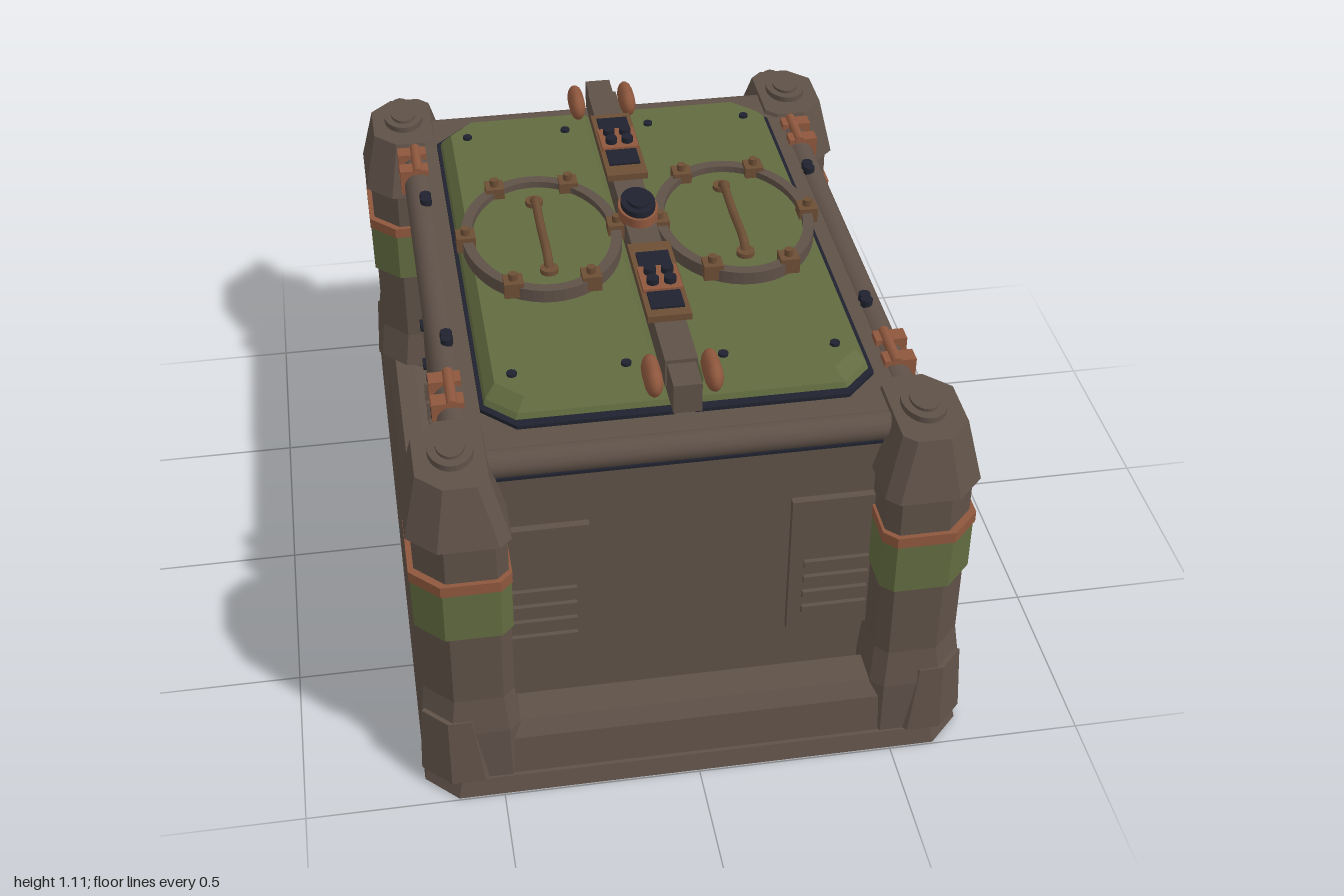
import * as THREE from 'three';

const mat = (name, hex) => {
  const m = new THREE.MeshStandardMaterial({ color: hex });
  m.name = name;
  return m;
};

export function createModel() {
  const root = new THREE.Group();
  root.name = 'armouredContainer';
  const hull = mat('hull brown', 0x5f5148);
  const green = mat('olive green', 0x626b40);
  const dark = mat('blue black', 0x20232f);
  const copper = mat('copper', 0x8e573d);
  const bronze = mat('bronze', 0x6d4e35);

  const add = (name, geo, m, x = 0, y = 0, z = 0) => {
    const mesh = new THREE.Mesh(geo, m);
    mesh.name = name;
    mesh.position.set(x, y, z);
    root.add(mesh);
    return mesh;
  };
  // box given by its limits
  const box = (name, m, x0, x1, y0, y1, z0, z1) =>
    add(name, new THREE.BoxGeometry(Math.abs(x1 - x0), y1 - y0, Math.abs(z1 - z0)), m,
      (x0 + x1) / 2, (y0 + y1) / 2, (z0 + z1) / 2);
  const cyl = (name, m, r, h, axis, x, y, z, sides = 16) => {
    const g = new THREE.CylinderGeometry(r, r, h, sides);
    if (axis === 'x') g.rotateZ(Math.PI / 2);
    if (axis === 'z') g.rotateX(Math.PI / 2);
    return add(name, g, m, x, y, z);
  };
  // stack of chamfered rectangles [y, x0, x1, z0, z1, innerChamfer, outerChamfer], mirrored when s = -1
  const loft = (name, m, s, rings) => {
    const rows = rings.map(([y, a, b, z0, z1, ci, co]) => {
      const [x0, x1, c0, c1] = s > 0 ? [a, b, ci, co] : [-b, -a, co, ci];
      return [[x1, z1 - c1], [x1, z0 + c1], [x1 - c1, z0], [x0 + c0, z0],
        [x0, z0 + c0], [x0, z1 - c0], [x0 + c0, z1], [x1 - c1, z1]].map(([x, z]) => [x, y, z]);
    });
    const p = [];
    const tri = (...v) => v.forEach((q) => p.push(...q));
    for (let r = 0; r + 1 < rows.length; r++) {
      for (let i = 0; i < 8; i++) {
        const j = (i + 1) % 8, a = rows[r], b = rows[r + 1];
        tri(a[i], a[j], b[j]);
        tri(a[i], b[j], b[i]);
      }
    }
    const lo = rows[0], hi = rows[rows.length - 1];
    for (let i = 1; i < 7; i++) {
      tri(hi[0], hi[i], hi[i + 1]);
      tri(lo[0], lo[i + 1], lo[i]);
    }
    const g = new THREE.BufferGeometry();
    g.setAttribute('position', new THREE.Float32BufferAttribute(p, 3));
    g.computeVertexNormals();
    return add(name, g, m);
  };
  const ellipse = (rx, rz) => new THREE.Shape().absellipse(0, 0, rx, rz, 0, Math.PI * 2);
  const plate = (shape, h) =>
    new THREE.ExtrudeGeometry(shape, { depth: h, bevelEnabled: false, curveSegments: 24 }).rotateX(-Math.PI / 2);

  // base plate, front sill and front wall
  loft('basePlate', hull, 1, [[0, -0.695, 0.695, -0.97, 0.995, 0.08, 0.08], [0.05, -0.685, 0.685, -0.96, 0.985, 0.08, 0.08]]);
  loft('frontSill', hull, 1, [[0.05, -0.54, 0.54, 0.82, 0.975, 0, 0], [0.16, -0.54, 0.54, 0.84, 0.965, 0, 0], [0.2, -0.54, 0.54, 0.85, 0.94, 0, 0]]);
  box('frontWall', hull, -0.5, 0.5, 0.05, 0.9, 0.76, 0.81);
  box('frontTrough', dark, -0.45, 0.45, 0.05, 0.12, 0.81, 0.82);

  // roof slab and round edge beams
  box('roof', hull, -0.55, 0.55, 0.87, 0.94, -0.78, 0.78);
  for (const z of [0.79, -0.775]) cyl('endRoofBeam', hull, 0.036, 0.98, 'x', 0, 0.906, z);
  box('frontBeamSeam', dark, -0.47, 0.47, 0.868, 0.876, 0.8, 0.815);

  // floor grating with slats
  box('floorMiddle', hull, -0.05, 0.05, 0.05, 0.09, -0.85, 0.76);
  for (let i = 0; i < 32; i++) {
    const z = -0.8 + i * 0.048;
    for (const s of [1, -1]) box('floorSlat', hull, s * 0.06, s * 0.42, 0.05, 0.075, z, z + 0.034);
  }
  box('floorGap', dark, -0.42, 0.42, 0.05, 0.056, -0.81, 0.76);

  // rear centre post
  box('rearCentrePost', hull, -0.035, 0.035, 0.05, 0.9, -0.8, -0.72);
  box('innerCentrePost', hull, -0.03, 0.03, 0.05, 0.88, -0.45, -0.38);

  for (const s of [1, -1]) {
    // corner pillars
    for (const [c, f] of [[0.795, 1], [-0.775, -1]]) {
      const ring = (y, a, b, h, ci = 0.03, co = 0.07) => [y, a, b, c - h, c + h, ci, co];
      loft('cornerPillar', hull, s, [ring(0.04, 0.445, 0.695, 0.185), ring(0.2, 0.447, 0.692, 0.178),
        ring(0.3, 0.457, 0.68, 0.16), ring(0.79, 0.457, 0.68, 0.16), ring(0.795, 0.447, 0.695, 0.172),
        ring(0.95, 0.49, 0.66, 0.13, 0.03, 0.06)]);
      loft('pillarGreenBand', green, s, [ring(0.515, 0.452, 0.69, 0.168), ring(0.66, 0.452, 0.69, 0.168)]);
      loft('pillarCopperStrap', copper, s, [ring(0.66, 0.45, 0.694, 0.172), ring(0.69, 0.45, 0.694, 0.172)]);
      const z0 = f > 0 ? 0.83 : -0.965, z1 = f > 0 ? 0.99 : -0.82;
      loft('pillarFoot', hull, s, [[0.05, 0.525, 0.7, z0, z1, 0.02, 0.07], [0.24, 0.55, 0.69, z0 + 0.02, z1 - 0.02, 0.02, 0.06]]);
      add('pillarCap', plate(ellipse(0.055, 0.075), 0.016), hull, s * 0.57, 0.95, f * 0.785);
      add('pillarCapCentre', plate(ellipse(0.035, 0.05), 0.008), hull, s * 0.57, 0.966, f * 0.785);
    }

    // side sill, wall and painted stripe
    loft('sideSill', hull, s, [[0.05, 0.5, 0.685, -0.65, 0.65, 0, 0], [0.15, 0.5, 0.675, -0.65, 0.65, 0, 0], [0.2, 0.6, 0.655, -0.65, 0.65, 0, 0]]);
    box('sideWall', hull, s * 0.47, s * 0.55, 0.05, 0.9, -0.7, 0.7);
    box('sideGreenStripe', green, s * 0.55, s * 0.557, 0.51, 0.66, -0.62, 0.64);
    cyl('sideRoofBeam', hull, 0.04, 1.36, 'z', s * 0.55, 0.908, 0);
    for (const z of [0.453, -0.222]) box('sideSeam', dark, s * 0.55, s * 0.563, 0.51, 0.84, z - 0.008, z + 0.008);
    for (const [a, b] of [[0.22, 0.44], [-0.445, 0.09]]) {
      box('sidePanel', hull, s * 0.55, s * 0.57, 0.31, 0.5, a, b);
      for (const z of [a + 0.035, b - 0.035]) for (const y of [0.335, 0.475])
        cyl('panelBolt', dark, 0.018, 0.012, 'x', s * 0.573, y, z, 8);
    }
    // lower grille with ribs
    box('sideGrille', dark, s * 0.55, s * 0.572, 0.24, 0.305, -0.4, 0.6);
    for (let i = 0; i < 11; i++) box('grilleRib', hull, s * 0.55, s * 0.582, 0.24, 0.305, -0.36 + i * 0.09, -0.345 + i * 0.09);

    // canister
    const profile = [[0, 0], [0.085, 0], [0.085, 0.025], [0.07, 0.035], [0.07, 0.065], [0.076, 0.075], [0.07, 0.085],
      [0.07, 0.18], [0.085, 0.2], [0.088, 0.245], [0.075, 0.25], [0, 0.25]].map(([r, y]) => new THREE.Vector2(r, y));
    add('canister', new THREE.LatheGeometry(profile, 20), bronze, s * 0.6, 0.28, 0.395);

    // cables with clamps
    for (const pts of [
      [[0.57, 0.9, 0.6], [0.6, 0.8, 0.605], [0.59, 0.6, 0.59], [0.59, 0.4, 0.605], [0.58, 0.27, 0.595]],
      [[0.58, 0.85, 0.6], [0.605, 0.72, 0.59], [0.6, 0.55, 0.57], [0.6, 0.38, 0.53], [0.6, 0.29, 0.46]]]) {
      const curve = new THREE.CatmullRomCurve3(pts.map(([x, y, z]) => new THREE.Vector3(s * x, y, z)));
      add('cable', new THREE.TubeGeometry(curve, 24, 0.011, 8), bronze);
    }
    for (const y of [0.82, 0.7, 0.3]) box('cableClamp', copper, s * 0.55, s * 0.615, y - 0.014, y + 0.014, 0.57, 0.625);

    // roof beam clamps and bolts
    for (const f of [1, -1]) {
      for (const z of [0.5, 0.59]) box('beamClamp', copper, s * 0.52, s * 0.6, 0.885, 0.957, f * (z - 0.022), f * (z + 0.022));
      cyl('clampRod', copper, 0.014, 0.14, 'z', s * 0.55, 0.953, f * 0.545, 10);
      for (const z of [0.32, 0.345]) cyl('beamBolt', dark, 0.016, 0.02, 'y', s * 0.54, 0.953, f * z, 8);
    }

    // front vent panels
    box('frontVentPanel', hull, s * 0.25, s * 0.47, 0.3, 0.72, 0.81, 0.83);
    for (let i = 0; i < 4; i++) {
      const y = 0.373 + i * 0.05;
      box('ventSlat', hull, s * 0.285, s * 0.45, y - 0.009, y + 0.009, 0.83, 0.842);
      box('ventShadowLine', dark, s * 0.285, s * 0.45, y - 0.013, y - 0.009, 0.83, 0.834);
    }

    // roof hatches
    loft('hatchSeal', dark, s, [[0.935, 0.025, 0.485, -0.71, 0.715, 0, 0.08], [0.95, 0.025, 0.485, -0.71, 0.715, 0, 0.08]]);
    loft('hatch', green, s, [[0.95, 0.03, 0.475, -0.69, 0.69, 0, 0.07], [0.965, 0.035, 0.47, -0.685, 0.685, 0, 0.07], [0.995, 0.055, 0.445, -0.66, 0.66, 0, 0.065]]);
    for (const z of [-0.57, 0.57]) for (const x of [0.12, 0.4]) cyl('hatchBolt', dark, 0.013, 0.012, 'y', s * x, 0.997, z, 8);
    add('hatchLid', plate(ellipse(0.19, 0.255), 0.018), green, s * 0.257, 0.994, 0);
    const ring = ellipse(0.21, 0.28);
    ring.holes.push(ellipse(0.182, 0.25));
    add('hatchRing', plate(ring, 0.036), hull, s * 0.257, 0.994, 0);
    for (let i = 0; i < 6; i++) {
      const a = i * Math.PI / 3, x = s * 0.257 + 0.2 * Math.cos(a), z = 0.265 * Math.sin(a);
      box('ringBracket', bronze, x - 0.025, x + 0.025, 1.0, 1.042, z - 0.025, z + 0.025);
      cyl('ringBolt', bronze, 0.012, 0.02, 'y', x, 1.05, z, 8);
    }
    const grip = new THREE.CatmullRomCurve3([[1.0, -0.165], [1.035, -0.15], [1.037, 0], [1.035, 0.15], [1.0, 0.165]]
      .map(([y, z]) => new THREE.Vector3(s * 0.257, y, z)));
    add('hatchHandle', new THREE.TubeGeometry(grip, 24, 0.012, 8), bronze);
    for (const z of [-0.165, 0.165]) cyl('handleFoot', bronze, 0.024, 0.02, 'y', s * 0.257, 1.015, z, 12);

    // rear door frame, header and steps
    box('rearSidePost', hull, s * 0.37, s * 0.47, 0.05, 0.9, -0.76, -0.68);
    box('rearInnerPost', hull, s * 0.09, s * 0.14, 0.05, 0.74, -0.73, -0.67);
    box('rearLintel', hull, s * 0.03, s * 0.45, 0.7, 0.75, -0.77, -0.69);
    box('rearHeader', green, s * 0.03, s * 0.45, 0.75, 0.88, -0.74, -0.71);
    for (const t of [1, -1]) {
      const brace = box('headerBrace', hull, s * 0.24 - 0.13, s * 0.24 + 0.13, 0.803, 0.819, -0.75, -0.74);
      brace.rotation.z = t * 0.42;
    }
    for (const x of [0.4, 0.06]) box('rearLatch', copper, s * (x - 0.02), s * (x + 0.02), 0.09, 0.23, -0.8, -0.72);
    box('rearStep', dark, s * 0.075, s * 0.39, 0.05, 0.1, -0.98, -0.89);
    box('rearStepTread', hull, s * 0.085, s * 0.38, 0.05, 0.085, -0.89, -0.83);

    // fittings on the rear pillar faces
    const px = s * 0.57;
    box('rearLampMount', hull, px - 0.05, px + 0.05, 0.85, 0.91, -0.95, -0.9);
    cyl('rearLamp', hull, 0.03, 0.07, 'z', px, 0.88, -0.955, 12);
    box('rearStrip', dark, px - 0.03, px + 0.03, 0.29, 0.51, -0.945, -0.92);
    for (const y of [0.76, 0.34]) {
      for (const x of [-0.035, 0.035]) box('rearHook', copper, px + x - 0.015, px + x + 0.015, y - 0.045, y + 0.035, -0.975, -0.92);
      cyl('rearHookPin', copper, 0.014, 0.12, 'x', px, y, -0.965, 10);
    }
    cyl('rearKnob', hull, 0.028, 0.06, 'z', px, 0.27, -0.955, 12);
    cyl('rearStripBolt', bronze, 0.015, 0.02, 'z', px, 0.46, -0.95, 8);
  }

  // roof spine with end hinges
  box('spineBase', hull, -0.03, 0.03, 0.94, 1.0, -0.7, 0.7);
  box('spine', hull, -0.04, 0.04, 0.985, 1.06, -0.66, 0.66);
  for (const f of [1, -1]) {
    box('spineEnd', hull, -0.035, 0.035, 0.97, 1.05, f * 0.62, f * 0.75);
    for (const s of [1, -1]) {
      const g = new THREE.CapsuleGeometry(0.038, 0.05, 6, 14).rotateX(Math.PI / 2).scale(0.6, 1, 1);
      add('spineHinge', g, copper, s * 0.073, 1.028, f * 0.67);
    }
    // lock units on the spine
    box('lockPlate', bronze, -0.055, 0.055, 1.06, 1.078, f * 0.17, f * 0.5);
    box('lockRecess', dark, -0.042, 0.042, 1.078, 1.084, f * 0.22, f * 0.47);
    box('lockBlock', copper, -0.05, 0.05, 1.07, 1.09, f * 0.295, f * 0.4);
    for (const x of [-0.022, 0.022]) for (const z of [0.325, 0.37])
      cyl('lockBolt', dark, 0.016, 0.022, 'y', x, 1.095, f * z, 10);
  }
  // centre knob
  add('knobCollar', plate(ellipse(0.052, 0.075), 0.03), copper, 0, 1.055, 0);
  add('knob', plate(ellipse(0.045, 0.066), 0.016), dark, 0, 1.085, 0);
  add('knobTop', plate(ellipse(0.03, 0.045), 0.01), dark, 0, 1.1, 0);

  return root;
}
